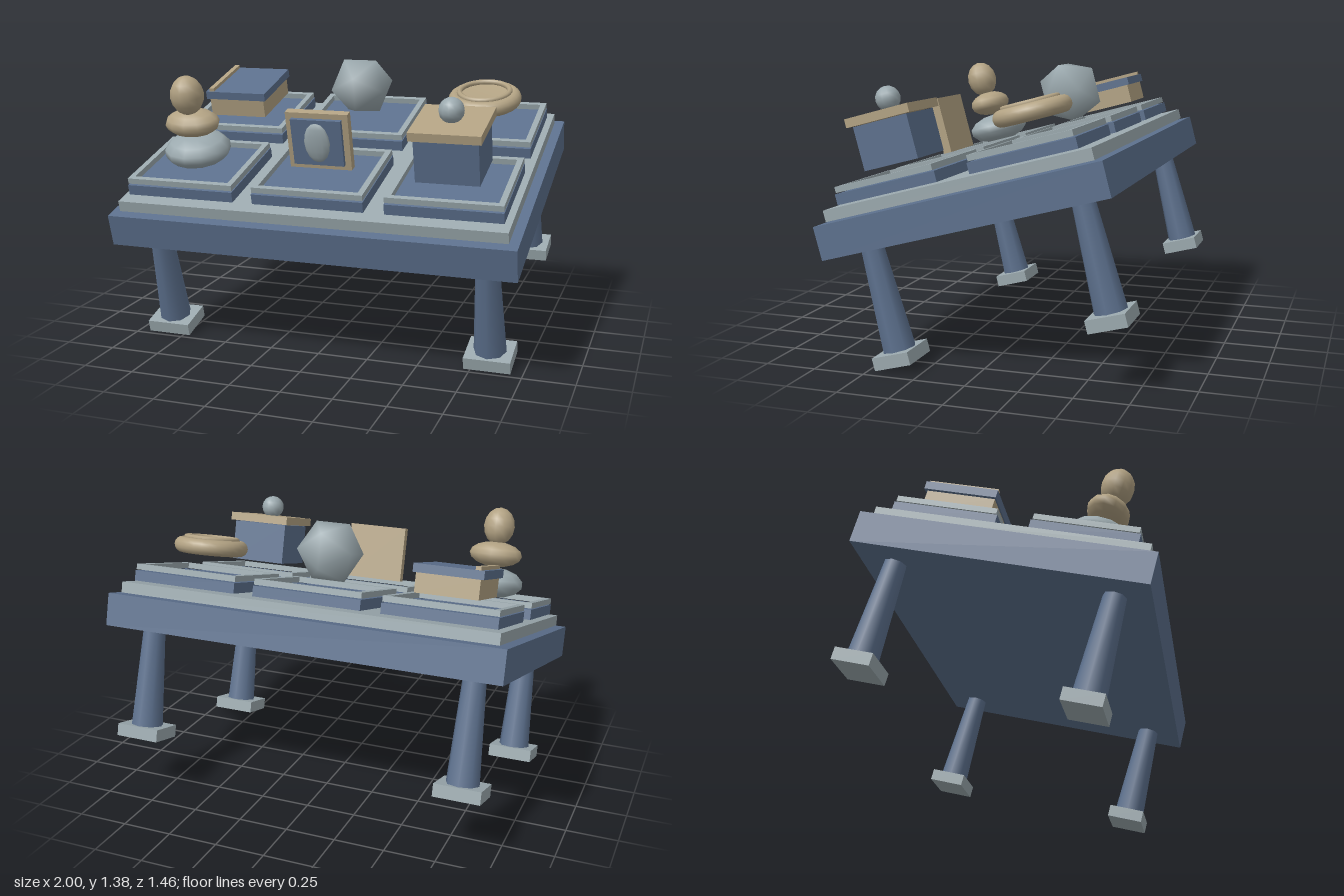
import * as THREE from 'three';
import { mergeVertices } from 'three/addons/utils/BufferGeometryUtils.js';

const mat = (name, color) => {
  const m = new THREE.MeshStandardMaterial({ color });
  m.name = name;
  return m;
};

export function createModel() {
  const blue = mat('slate blue', 0x5c708d);
  const gray = mat('pale gray', 0x9ba9ae);
  const tan = mat('sand tan', 0xb2a283);

  const model = new THREE.Group();
  // Everything sits in one frame that leans toward the front
  const table = new THREE.Group();
  table.name = 'tiltedTable';
  table.rotation.x = Math.PI / 12;
  table.position.set(0, 0.7, 0.015);
  model.add(table);

  const add = (name, geo, material, x, y, z, parent = table) => {
    const mesh = new THREE.Mesh(geo, material);
    mesh.name = name;
    mesh.position.set(x, y, z);
    parent.add(mesh);
    return mesh;
  };
  // Box given by its centre in x and z and its bottom and top heights
  const slab = (name, material, x, z, w, d, y0, y1, parent) =>
    add(name, new THREE.BoxGeometry(w, y1 - y0, d), material, x, (y0 + y1) / 2, z, parent);
  const ball = (name, material, x, y, z, rx, ry, rz, ws = 12, hs = 8) => {
    const geo = new THREE.SphereGeometry(1, ws, hs);
    geo.scale(rx, ry, rz);
    return add(name, geo, material, x, y, z);
  };

  // Table top
  slab('tableSlab', blue, 0, 0, 2, 1.4, 0, 0.16);
  slab('tableBoard', gray, 0, 0, 1.91, 1.31, 0.166, 0.22);

  // Legs and feet
  for (const x of [-0.83, 0.83]) {
    for (const z of [-0.525, 0.525]) {
      add('leg', new THREE.CylinderGeometry(0.055, 0.08, 0.51, 8), blue, x, -0.25, z);
      slab('foot', gray, x, z, 0.225, 0.185, -0.558, -0.497);
    }
  }

  // Six trays with raised rims
  for (const x of [-0.65, 0, 0.65]) {
    for (const z of [-0.335, 0.335]) {
      const tray = new THREE.Group();
      tray.name = 'tray';
      tray.position.set(x, 0, z);
      table.add(tray);
      slab('trayBase', blue, 0, 0, 0.55, 0.51, 0.227, 0.278, tray);
      for (const s of [-1, 1]) {
        slab('rimSide', gray, s * 0.26, 0, 0.028, 0.496, 0.283, 0.311, tray);
        slab('rimEnd', gray, 0, s * 0.234, 0.492, 0.028, 0.283, 0.311, tray);
      }
    }
  }

  // Stacked stones
  ball('bottomStone', gray, -0.65, 0.375, 0.335, 0.165, 0.08, 0.165, 12, 7);
  ball('middleStone', tan, -0.65, 0.522, 0.35, 0.14, 0.066, 0.105);
  ball('topStone', tan, -0.65, 0.668, 0.362, 0.082, 0.097, 0.082);

  // Upright picture frame with an oval
  slab('pictureFrame', tan, 0, 0.335, 0.31, 0.043, 0.32, 0.604);
  slab('picturePanel', blue, 0, 0.366, 0.25, 0.022, 0.347, 0.577);
  ball('pictureOval', gray, 0, 0.462, 0.376, 0.065, 0.1, 0.022);

  // Lidded box
  slab('boxBody', blue, 0.647, 0.34, 0.3, 0.28, 0.345, 0.555);
  slab('boxLid', tan, 0.647, 0.34, 0.335, 0.33, 0.558, 0.6);
  ball('boxKnob', gray, 0.647, 0.648, 0.343, 0.06, 0.06, 0.06);

  // Book lying flat
  slab('bookPages', tan, -0.65, -0.335, 0.305, 0.344, 0.336, 0.43);
  slab('bookCover', blue, -0.652, -0.337, 0.335, 0.364, 0.43, 0.471);
  slab('bookSpineStrip', tan, -0.787, -0.335, 0.026, 0.35, 0.471, 0.488);

  // Smooth-shaded gem
  let gem = new THREE.IcosahedronGeometry(0.165, 0);
  gem.deleteAttribute('normal');
  gem.deleteAttribute('uv');
  gem = mergeVertices(gem, 1e-4);
  gem.computeVertexNormals();
  add('gem', gem, gray, 0, 0.47, -0.335);

  // Round dish with a rounded rim and a raised inner ring
  const rim = [];
  for (let i = 0; i <= 8; i++) {
    const a = -Math.PI / 2 + (i / 8) * Math.PI;
    rim.push(new THREE.Vector2(0.145 + 0.04 * Math.cos(a), 0.04 * Math.sin(a)));
  }
  const profile = [new THREE.Vector2(0, -0.04), ...rim, new THREE.Vector2(0.115, 0.026), new THREE.Vector2(0, 0.026)];
  add('dish', new THREE.LatheGeometry(profile, 28), tan, 0.65, 0.425, -0.338);
  const ring = new THREE.TorusGeometry(0.127, 0.014, 8, 28);
  ring.rotateX(Math.PI / 2);
  add('dishRing', ring, tan, 0.65, 0.465, -0.338);

  return model;
}
